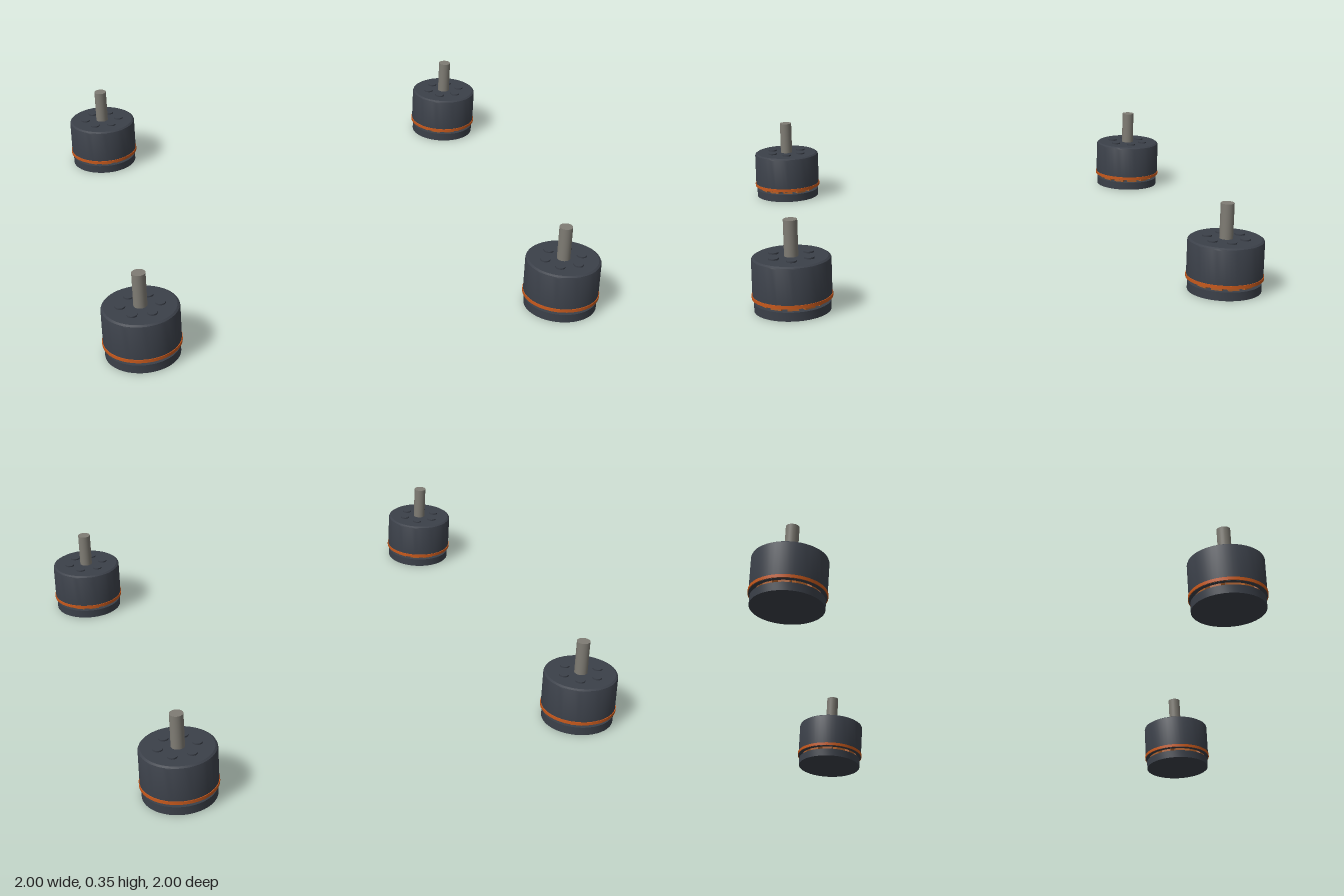
import * as THREE from 'three';
import { toCreasedNormals } from 'three/addons/utils/BufferGeometryUtils.js';

const mat = (name, color) => Object.assign(new THREE.MeshStandardMaterial({ color }), { name });

export function createModel() {
  const casing = mat('casing grey', 0x3b4049);
  const copper = mat('copper', 0xb0602a);
  const orange = mat('orange trim', 0xc8591c);
  const steel = mat('shaft steel', 0x7f7c74);

  const add = (parent, name, geometry, material, y = 0) => {
    const mesh = new THREE.Mesh(geometry, material);
    mesh.name = name;
    mesh.position.y = y;
    parent.add(mesh);
    return mesh;
  };
  // Revolve a profile of [radius, height] pairs, keeping its edges sharp
  const turned = (points) => toCreasedNormals(
    new THREE.LatheGeometry(points.map(([r, y]) => new THREE.Vector2(r, y)), 48), 0.5);

  const baseGeo = turned([[0, 0], [0.146, 0], [0.146, 0.035], [0, 0.035]]);
  const bellGeo = turned([[0.134, 0.19], [0.134, 0.05], [0.151, 0.05], [0.151, 0.202],
    [0.149, 0.207], [0.141, 0.212], [0, 0.212]]);
  const trimGeo = turned([[0.134, 0.051], [0.154, 0.051], [0.154, 0.064], [0.134, 0.064]]);
  const coreGeo = new THREE.CylinderGeometry(0.09, 0.09, 0.15, 32);
  const coilGeo = new THREE.BoxGeometry(0.045, 0.13, 0.044);
  const bossGeo = new THREE.CylinderGeometry(0.02, 0.02, 0.012, 16);
  const shaftGeo = new THREE.CylinderGeometry(0.027, 0.027, 0.32, 24);

  const makeMotor = () => {
    const motor = new THREE.Group();
    add(motor, 'basePlate', baseGeo, casing);
    add(motor, 'bell', bellGeo, casing);
    add(motor, 'trimRing', trimGeo, orange);
    add(motor, 'statorCore', coreGeo, casing, 0.11);
    add(motor, 'shaft', shaftGeo, steel, 0.195);

    // Windings around the stator
    for (let i = 0; i < 12; i++) {
      const a = (i / 12) * Math.PI * 2;
      const coil = add(motor, 'winding', coilGeo, copper, 0.1);
      coil.position.x = Math.cos(a) * 0.106;
      coil.position.z = Math.sin(a) * 0.106;
      coil.rotation.y = -a;
    }
    // Low bosses on top of the bell
    for (let i = 0; i < 6; i++) {
      const a = (i / 6) * Math.PI * 2;
      const boss = add(motor, 'topBoss', bossGeo, casing, 0.212);
      boss.position.x = Math.cos(a) * 0.077;
      boss.position.z = Math.sin(a) * 0.077;
    }
    return motor;
  };

  // One motor at each corner
  const model = new THREE.Group();
  model.name = 'motorSet';
  for (const x of [-1, 1]) for (const z of [-1, 1]) {
    const motor = makeMotor();
    motor.name = `${z > 0 ? 'front' : 'rear'}${x > 0 ? 'Left' : 'Right'}Motor`;
    motor.position.set(x * 0.846, 0, z * 0.846);
    model.add(motor);
  }
  return model;
}
